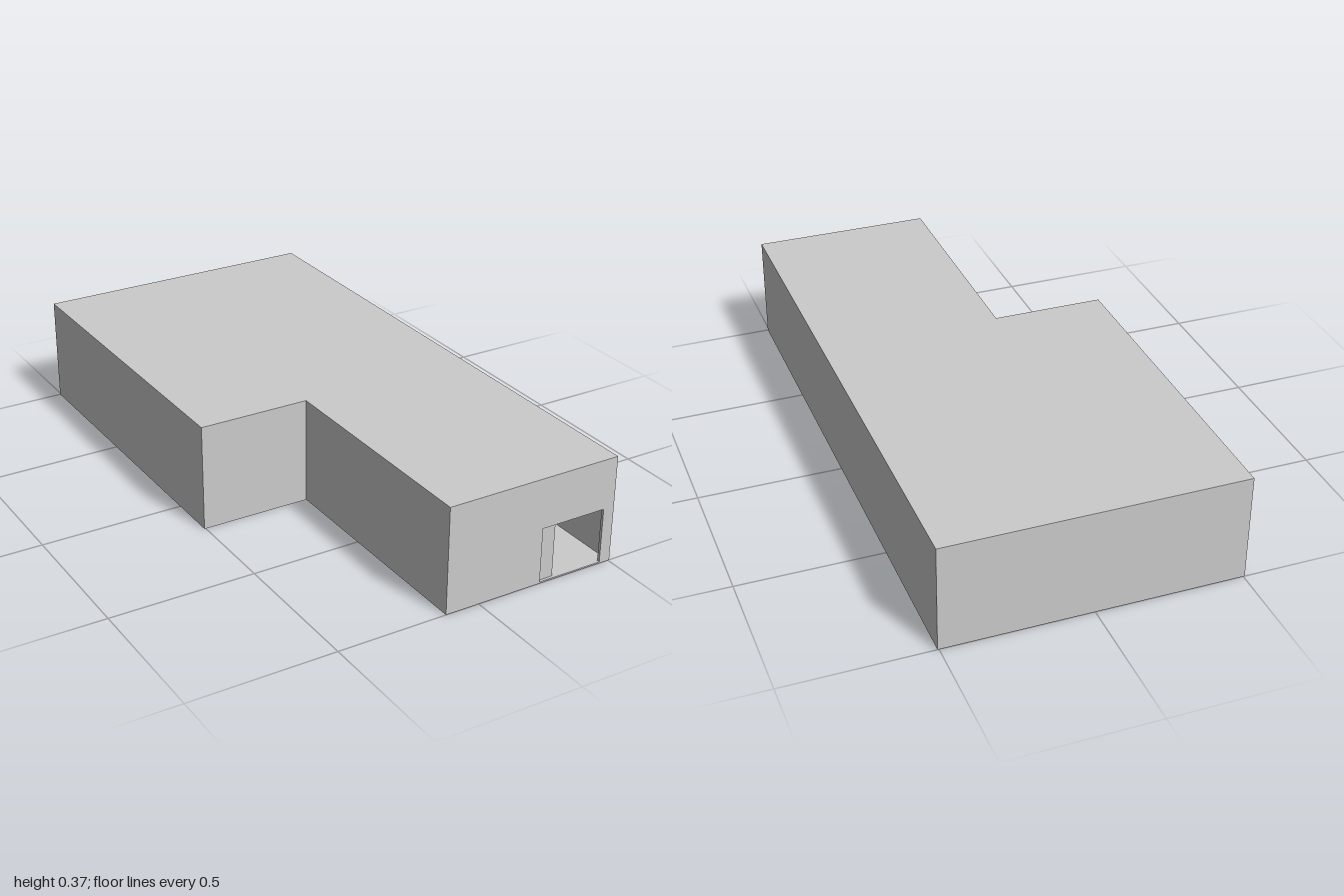
import * as THREE from 'three';

const X0 = -0.505, X1 = 0.505, XN = -0.12; // outer sides and the notch wall
const Z0 = -1, Z1 = 1, ZN = 0.175;         // back, front and the notch wall
const H = 0.37, T = 0.01, FLOOR = 0.005;   // height, wall and floor thickness

const grey = new THREE.MeshStandardMaterial({ color: 0xcccccc });
const blue = new THREE.MeshStandardMaterial({ color: 0x4a5cc0 });

// Box given by its lower and upper corners
function block(name, [ax, ay, az], [bx, by, bz], material = grey) {
  const mesh = new THREE.Mesh(new THREE.BoxGeometry(bx - ax, by - ay, bz - az), material);
  mesh.position.set((ax + bx) / 2, (ay + by) / 2, (az + bz) / 2);
  mesh.name = name;
  return mesh;
}

// Horizontal slab with the L-shaped footprint
function slab(name, y, thickness) {
  const outline = [[X0, Z0], [X1, Z0], [X1, Z1], [XN, Z1], [XN, ZN], [X0, ZN]];
  const shape = new THREE.Shape(outline.map(([x, z]) => new THREE.Vector2(x, -z)));
  const geometry = new THREE.ExtrudeGeometry(shape, { depth: thickness, bevelEnabled: false });
  geometry.rotateX(-Math.PI / 2);
  const mesh = new THREE.Mesh(geometry, grey);
  mesh.position.y = y;
  mesh.name = name;
  return mesh;
}

// Front wall with the entrance cut out
function frontWall() {
  const top = H - T;
  const shape = new THREE.Shape([
    [XN, FLOOR], [0.23, FLOOR], [0.23, 0.195], [0.465, 0.195], [0.465, FLOOR],
    [X1, FLOOR], [X1, top], [XN, top],
  ].map(([x, y]) => new THREE.Vector2(x, y)));
  const mesh = new THREE.Mesh(new THREE.ExtrudeGeometry(shape, { depth: T, bevelEnabled: false }), grey);
  mesh.position.z = Z1 - T;
  mesh.name = 'frontWall';
  return mesh;
}

export function createModel() {
  const model = new THREE.Group();
  model.name = 'building';
  const top = H - T;

  // Shell
  model.add(
    slab('floor', 0, FLOOR),
    slab('roof', top, T),
    frontWall(),
    block('backWall', [X0, FLOOR, Z0], [X1, top, Z0 + T]),
    block('leftWall', [X1 - T, FLOOR, Z0 + T], [X1, top, Z1 - T]),
    block('rightWall', [X0, FLOOR, Z0 + T], [X0 + T, top, ZN]),
    block('notchFrontWall', [X0 + T, FLOOR, ZN - T], [XN + T, top, ZN]),
    block('notchSideWall', [XN, FLOOR, ZN], [XN + T, top, Z1 - T]),
  );

  // Sliding panel partly closing the entrance
  model.add(block('slidingPanel', [0.225, FLOOR, Z1 - 2 * T], [0.285, 0.2, Z1 - T]));

  // Entrance hall partitions with a skirting at the passage
  model.add(
    block('hallSideWall', [0.14, FLOOR, 0.3], [0.15, top, 0.85]),
    block('hallEndWall', [0.14, FLOOR, 0.29], [0.4, top, 0.3]),
    block('skirting', [0.15, FLOOR, 0.3], [0.403, 0.035, 0.303]),
  );

  // Blue door in the hall
  model.add(block('innerDoor', [0.355, FLOOR, 0.3], [0.385, 0.16, 0.306], blue));

  return model;
}
